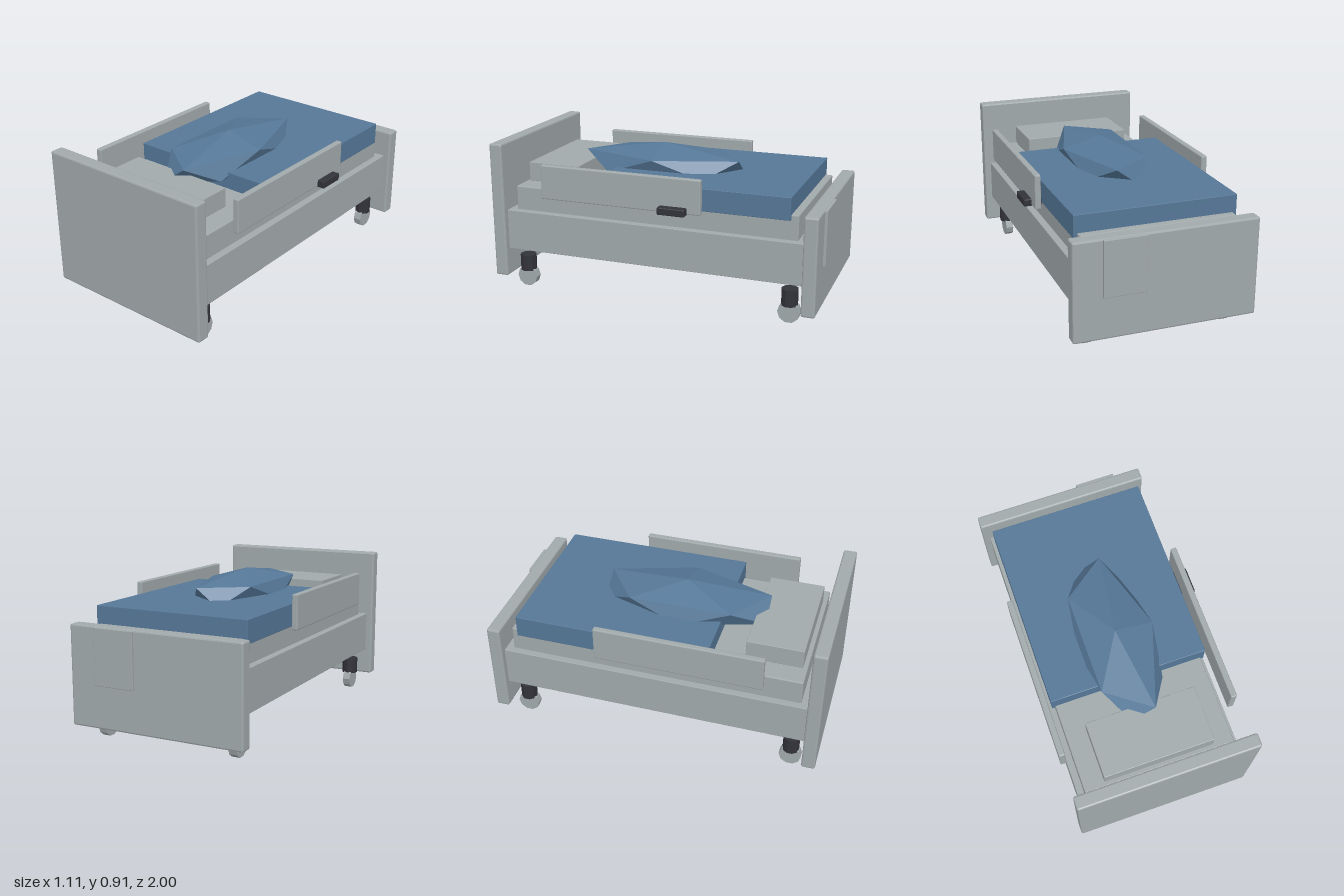
import * as THREE from 'three';
import { RoundedBoxGeometry } from 'three/addons/geometries/RoundedBoxGeometry.js';
import { ConvexGeometry } from 'three/addons/geometries/ConvexGeometry.js';

const CX = -0.021; // centre line of the bed; the side control sticks out on the left

export function createModel() {
  const model = new THREE.Group();
  model.name = 'hospitalBed';

  const material = (name, color) => {
    const m = new THREE.MeshStandardMaterial({ color, flatShading: true });
    m.name = name;
    return m;
  };
  const grey = material('paleGrey', 0xa1a9ab);
  const blue = material('blanketBlue', 0x557797);
  const dark = material('darkPlastic', 0x32323a);

  const add = (name, geometry, mat, parent = model) => {
    const mesh = new THREE.Mesh(geometry, mat);
    mesh.name = name;
    parent.add(mesh);
    return mesh;
  };
  // Box given by its limits, with a small chamfer
  const box = (name, mat, [x0, x1], [y0, y1], [z0, z1], bevel = 0.006) => {
    const mesh = add(name, new RoundedBoxGeometry(x1 - x0, y1 - y0, z1 - z0, 1, bevel), mat);
    mesh.position.set((x0 + x1) / 2, (y0 + y1) / 2, (z0 + z1) / 2);
    return mesh;
  };

  // End boards and chart plate
  box('headboard', grey, [-0.555, 0.513], [0.085, 0.908], [0.92, 1], 0.01);
  box('footboard', grey, [-0.555, 0.513], [0.085, 0.662], [-0.985, -0.905], 0.01);
  box('chartPlate', grey, [0.1, 0.347], [0.333, 0.658], [-1, -0.98], 0.003);

  // Base, mattress and bedding
  box('bedFrame', grey, [-0.515, 0.472], [0.25, 0.496], [-0.91, 0.925], 0.003);
  box('mattress', grey, [-0.475, 0.43], [0.49, 0.641], [-0.86, 0.875]);
  box('pillow', grey, [-0.352, 0.306], [0.645, 0.761], [0.52, 0.85], 0.003);
  box('blanket', blue, [-0.496, 0.451], [0.612, 0.744], [-0.818, 0.333], 0.003);

  // Faceted bulge under the covers: a stretched icosahedron standing on a corner
  const points = [new THREE.Vector3(0, 1, 0), new THREE.Vector3(0, -1, 0)];
  for (let i = 0; i < 10; i++) {
    const a = (i * Math.PI) / 5;
    const y = i % 2 ? -0.447 : 0.447;
    points.push(new THREE.Vector3(Math.cos(a) * 0.894, y, Math.sin(a) * 0.894));
  }
  const bulge = add('coveredBulge', new ConvexGeometry(points), blue);
  bulge.scale.set(0.258, 0.118, 0.577);
  bulge.position.set(CX, 0.758, 0.088);

  // Side rails and control
  for (const [side, name] of [[1, 'leftSideRail'], [-1, 'rightSideRail']]) {
    const inner = CX + side * 0.496;
    const outer = CX + side * 0.532;
    box(name, grey, [Math.min(inner, outer), Math.max(inner, outer)], [0.602, 0.806], [-0.32, 0.665]);
  }
  box('sideControl', dark, [0.45, 0.555], [0.597, 0.641], [-0.24, -0.078]);

  // Small catches between mattress and end boards
  for (const z of [0.893, -0.882]) {
    box('boardCatch', dark, [CX - 0.025, CX + 0.025], [0.44, 0.499], [z - 0.017, z + 0.017], 0.002);
  }

  // Casters
  for (const x of [CX - 0.415, CX + 0.412]) {
    for (const z of [0.838, -0.816]) {
      const caster = new THREE.Group();
      caster.name = 'caster';
      caster.position.set(x, 0, z);
      model.add(caster);
      add('casterStem', new THREE.CylinderGeometry(0.049, 0.049, 0.1, 10), dark, caster).position.y = 0.15;
      const wheel = add('casterWheel', new THREE.CylinderGeometry(0.065, 0.065, 0.048, 10), grey, caster);
      wheel.rotation.z = Math.PI / 2;
      wheel.position.y = 0.062;
    }
  }
  return model;
}
